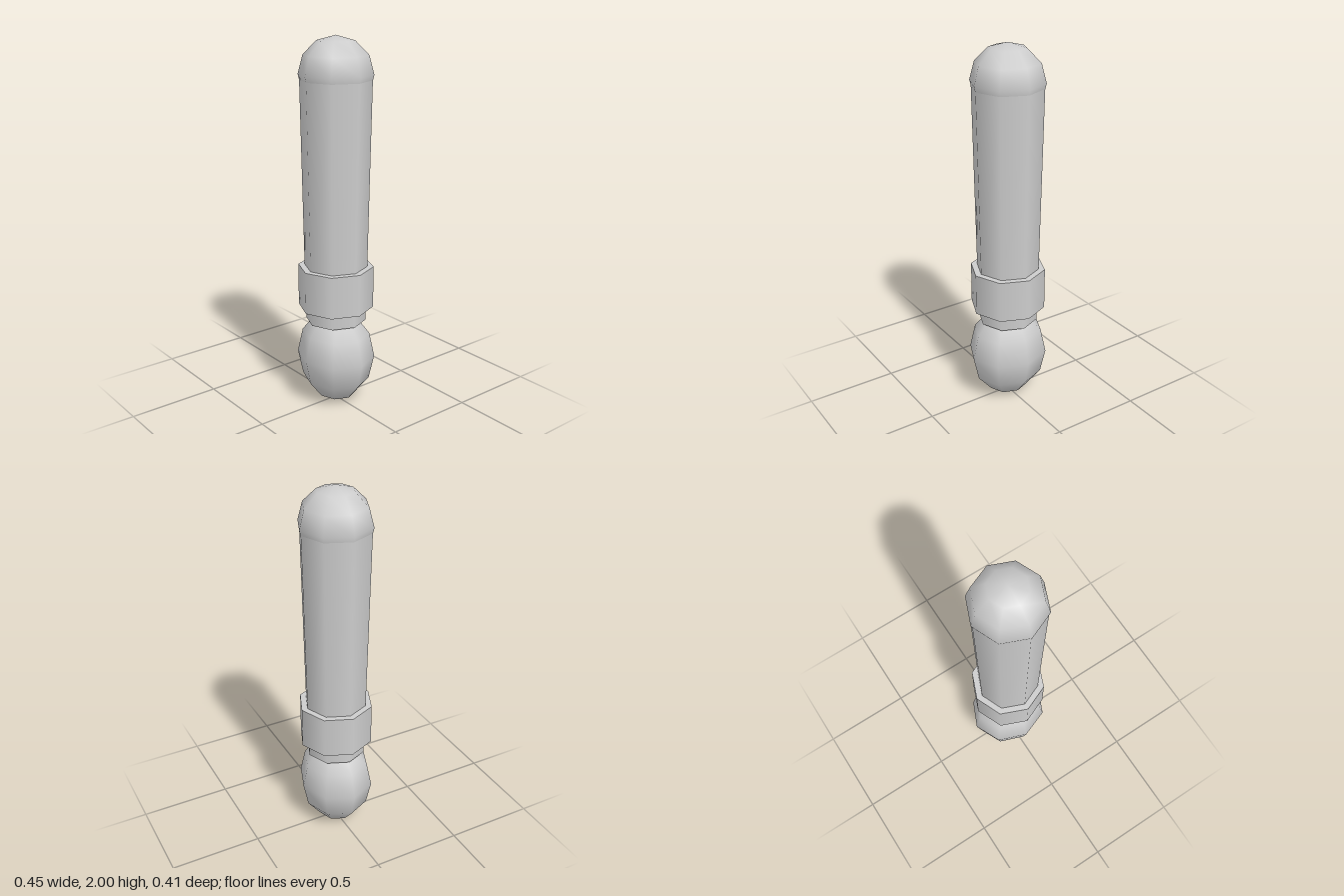
import * as THREE from 'three';

export function createModel() {
  const model = new THREE.Group();
  const grey = new THREE.MeshStandardMaterial({ color: 0xcccccc });
  grey.name = 'light grey';
  const SIDES = 8;

  const add = (name, geometry, y) => {
    const mesh = new THREE.Mesh(geometry, grey);
    mesh.name = name;
    mesh.position.y = y;
    model.add(mesh);
    return mesh;
  };
  // Eight-sided drum between two heights
  const drum = (name, rTop, rBottom, y0, y1) =>
    add(name, new THREE.CylinderGeometry(rTop, rBottom, y1 - y0, SIDES), (y0 + y1) / 2);
  // Low-poly ball stretched by its three radii
  const ball = (name, rx, ry, rz, y) =>
    add(name, new THREE.SphereGeometry(1, SIDES, 6).scale(rx, ry, rz), y);

  ball('pommel', 0.225, 0.267, 0.204, 0.267);
  drum('neck', 0.163, 0.163, 0.475, 0.6);
  drum('collar', 0.204, 0.204, 0.555, 0.785);
  drum('shaft', 0.188, 0.169, 0.74, 1.8);
  ball('roundedTip', 0.195, 0.195, 0.195, 1.805);

  return model;
}
